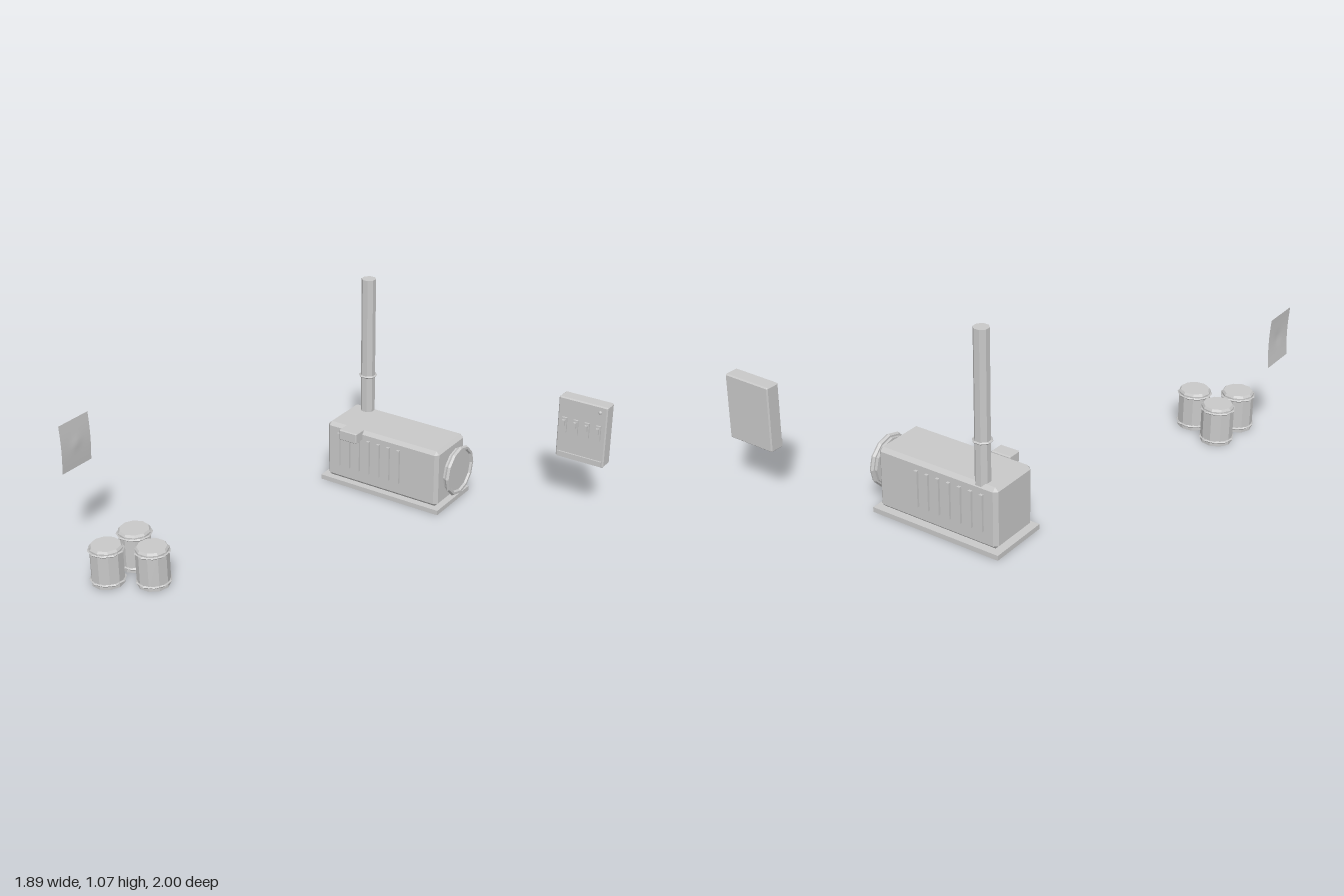
import * as THREE from 'three';
import { ConvexGeometry } from 'three/addons/geometries/ConvexGeometry.js';

const grey = new THREE.MeshStandardMaterial({ color: 0xc8c8c8, flatShading: true });
grey.name = 'plainGrey';
// Same grey, smooth and two-sided, for the sheet and the lamp
const smoothGrey = new THREE.MeshStandardMaterial({ color: 0xc8c8c8, side: THREE.DoubleSide });
smoothGrey.name = 'smoothGrey';

function add(parent, name, geometry, x, y, z, material = grey) {
  const mesh = new THREE.Mesh(geometry, material);
  mesh.name = name;
  mesh.position.set(x, y, z);
  parent.add(mesh);
  return mesh;
}

function group(parent, name) {
  const g = new THREE.Group();
  g.name = name;
  parent.add(g);
  return g;
}

// Box between two corners
function box(parent, name, x0, x1, y0, y1, z0, z1) {
  return add(parent, name, new THREE.BoxGeometry(x1 - x0, y1 - y0, z1 - z0),
    (x0 + x1) / 2, (y0 + y1) / 2, (z0 + z1) / 2);
}

// Box with flat chamfered edges between two corners
function chamferBox(parent, name, x0, x1, y0, y1, z0, z1, c) {
  const h = [(x1 - x0) / 2, (y1 - y0) / 2, (z1 - z0) / 2];
  const points = [];
  for (const sx of [-1, 1]) for (const sy of [-1, 1]) for (const sz of [-1, 1])
    for (let full = 0; full < 3; full++) {
      const p = h.map((v, i) => (i === full ? v : v - c));
      points.push(new THREE.Vector3(p[0] * sx, p[1] * sy, p[2] * sz));
    }
  return add(parent, name, new ConvexGeometry(points), (x0 + x1) / 2, (y0 + y1) / 2, (z0 + z1) / 2);
}

// Horizontal hoop around an upright cylinder
function hoop(parent, name, radius, tube, sides, x, y, z, turn) {
  const geometry = new THREE.TorusGeometry(radius, tube, 4, sides).rotateX(Math.PI / 2).rotateY(turn);
  return add(parent, name, geometry, x, y, z);
}

function buildGenerator(root) {
  const g = group(root, 'generator');
  box(g, 'basePlate', -0.44, 0.267, 0, 0.025, -0.795, -0.475);
  chamferBox(g, 'housing', -0.415, 0.247, 0.025, 0.335, -0.77, -0.495, 0.018);

  // Raised vent slats on both long sides
  for (let i = 0; i < 7; i++) {
    const x = -0.339 + i * 0.06;
    box(g, 'frontVent', x - 0.008, x + 0.008, 0.105, 0.29, -0.505, -0.483);
    box(g, 'backVent', x - 0.008, x + 0.008, 0.105, 0.29, -0.783, -0.76);
  }

  // Cooling fan cover on the end
  add(g, 'fanDisc', new THREE.CylinderGeometry(0.118, 0.118, 0.026, 12).rotateZ(-Math.PI / 2), 0.283, 0.195, -0.635);
  add(g, 'fanRing', new THREE.TorusGeometry(0.12, 0.013, 6, 12).rotateY(Math.PI / 2), 0.295, 0.195, -0.635);

  // Exhaust stack with a joint collar
  add(g, 'exhaustStack', new THREE.CylinderGeometry(0.037, 0.037, 0.745, 8).rotateY(Math.PI / 8), -0.318, 0.6925, -0.732);
  hoop(g, 'exhaustCollar', 0.042, 0.006, 8, -0.318, 0.535, -0.732, Math.PI / 8);

  chamferBox(g, 'controlBox', -0.302, -0.198, 0.285, 0.342, -0.51, -0.436, 0.005);
}

function buildSwitchPanel(root) {
  const g = group(root, 'switchPanel');
  chamferBox(g, 'cabinet', 0.683, 0.945, 0.268, 0.598, -1, -0.925, 0.006);
  box(g, 'bottomStrip', 0.694, 0.935, 0.274, 0.302, -0.93, -0.917);
  add(g, 'indicatorLamp', new THREE.SphereGeometry(0.009, 12, 8), 0.908, 0.565, -0.924, smoothGrey);
  for (let i = 0; i < 4; i++) {
    const x = 0.723 + i * 0.061;
    box(g, 'switchPlate', x - 0.013, x + 0.013, 0.413, 0.493, -0.93, -0.915);
    box(g, 'switchHandle', x - 0.007, x + 0.007, 0.453, 0.483, -0.92, -0.902);
  }
}

function buildDrums(root) {
  const spots = [[-0.683, 0.728, 0.1], [-0.508, 0.808, 0.4], [-0.695, 0.915, 0.2]];
  for (const [x, z, turn] of spots) {
    const g = group(root, 'drum');
    add(g, 'drumBody', new THREE.CylinderGeometry(0.08, 0.08, 0.19, 10).rotateY(turn), x, 0.095, z);
    add(g, 'drumLid', new THREE.CylinderGeometry(0.072, 0.08, 0.011, 10).rotateY(turn), x, 0.1955, z);
    for (const y of [0.022, 0.178]) hoop(g, 'drumHoop', 0.082, 0.006, 10, x, y, z, turn);
  }
}

// Thin notice sheet, bowed along its height with a low bump in the middle
function buildNotice(root) {
  const sheet = new THREE.PlaneGeometry(0.196, 0.248, 10, 12);
  const p = sheet.attributes.position;
  for (let i = 0; i < p.count; i++) {
    const x = p.getX(i), y = p.getY(i);
    const bow = 0.006 * Math.cos(y / 0.124 * Math.PI / 2);
    p.setZ(i, bow + 0.004 * Math.exp(-(x * x + y * y) / 0.0008));
  }
  sheet.rotateY(Math.PI / 2);
  sheet.computeVertexNormals();
  add(root, 'noticeSheet', sheet, -0.949, 0.604, 0.798, smoothGrey);
}

export function createModel() {
  const root = new THREE.Group();
  root.name = 'generatorYard';
  buildGenerator(root);
  buildSwitchPanel(root);
  buildDrums(root);
  buildNotice(root);
  return root;
}
